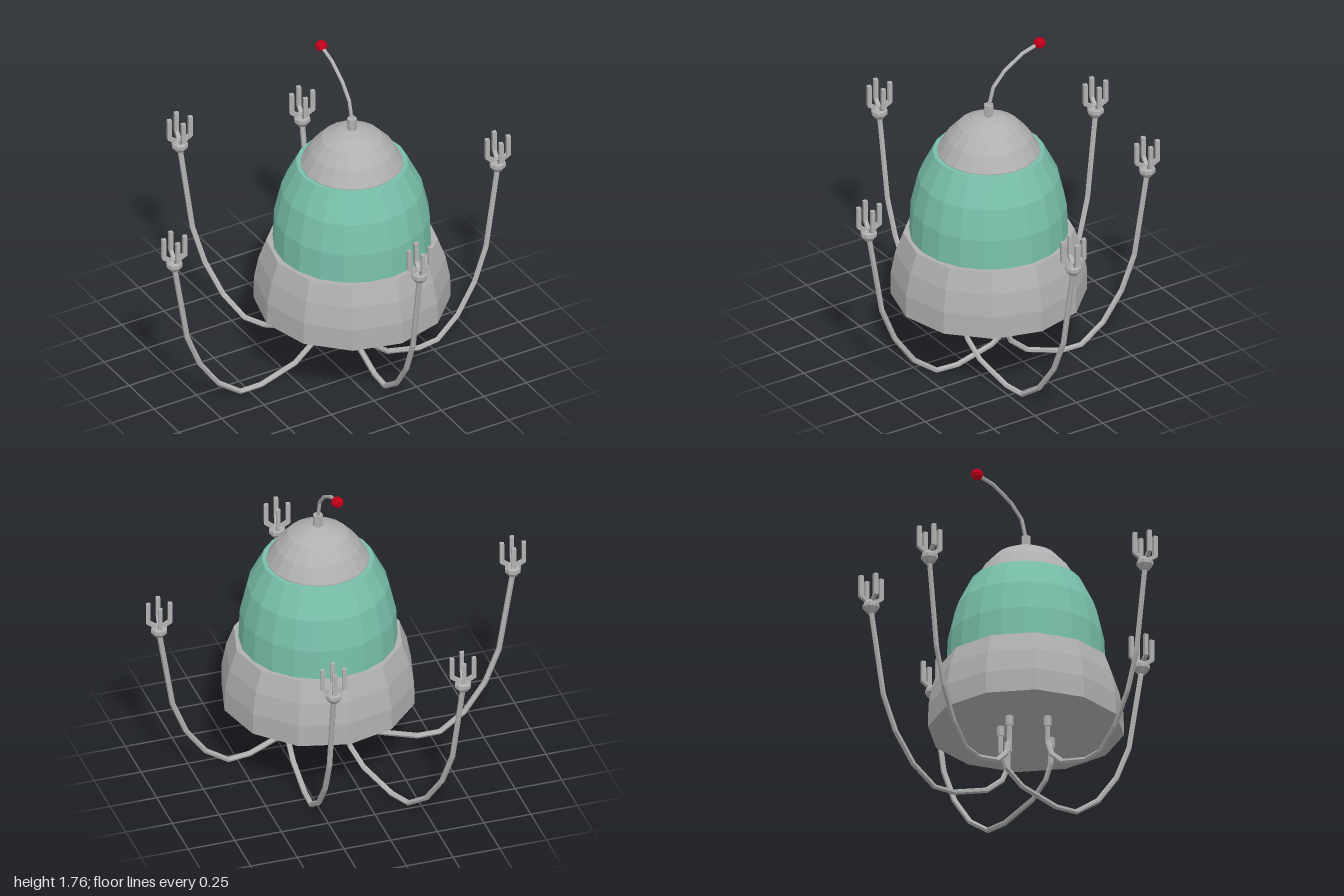
import * as THREE from 'three';

const metal = new THREE.MeshStandardMaterial({ color: 0xb0b0b0, flatShading: true });
metal.name = 'grey metal';
const green = new THREE.MeshStandardMaterial({ color: 0x78bfaa, flatShading: true });
green.name = 'sea green';
const red = new THREE.MeshStandardMaterial({ color: 0xc00018, flatShading: true });
red.name = 'red';

// Straight segments between points, one tube ring per point
class Polyline extends THREE.Curve {
  constructor(points) {
    super();
    this.points = points;
  }
  getPoint(t, target = new THREE.Vector3()) {
    const n = this.points.length - 1;
    const i = Math.min(Math.floor(t * n + 1e-9), n - 1);
    return target.lerpVectors(this.points[i], this.points[i + 1], t * n - i);
  }
  getPointAt(t, target) { return this.getPoint(t, target); }
  getTangentAt(t, target) { return this.getTangent(t, target); }
}

function add(parent, name, geometry, material, x = 0, y = 0, z = 0) {
  const mesh = new THREE.Mesh(geometry, material);
  mesh.name = name;
  mesh.position.set(x, y, z);
  parent.add(mesh);
  return mesh;
}

const lathe = (profile, sides) =>
  new THREE.LatheGeometry(profile.map(([r, y]) => new THREE.Vector2(r, y)), sides);

const tube = (points, radius, sides) =>
  new THREE.TubeGeometry(new Polyline(points), points.length - 1, radius, sides);

// Wrist cup with four bent upright fingers
function createHand() {
  const hand = new THREE.Group();
  hand.name = 'hand';
  add(hand, 'wrist', lathe([[0, 0.88], [0.022, 0.885], [0.043, 0.912], [0.043, 0.932], [0.028, 0.95], [0, 0.955]], 8), metal);
  for (let k = 0; k < 4; k++) {
    const finger = new THREE.Group();
    finger.name = 'finger';
    finger.rotation.y = -0.22 - k * Math.PI / 2;
    add(finger, 'fingerTip', new THREE.BoxGeometry(0.022, 0.115, 0.022), metal, 0.056, 1.025, 0);
    const link = add(finger, 'fingerLink', new THREE.BoxGeometry(0.05, 0.02, 0.02), metal, 0.039, 0.959, 0);
    link.rotation.z = 0.6;
    hand.add(finger);
  }
  return hand;
}

// Hanging arm profile: distance from root, height
const armProfile = [[0, 0.36], [0, 0.24], [0.035, 0.16], [0.13, 0.08], [0.33, 0.016], [0.45, 0.016],
  [0.58, 0.11], [0.69, 0.265], [0.765, 0.45], [0.84, 0.9]];

function createArm([rootX, rootZ, handX, handZ]) {
  const arm = new THREE.Group();
  arm.name = 'arm';
  const points = armProfile.map(([d, y]) => {
    const t = d / 0.84;
    return new THREE.Vector3(rootX + (handX - rootX) * t, y, rootZ + (handZ - rootZ) * t);
  });
  add(arm, 'armCable', tube(points, 0.0145, 6), metal);
  add(arm, 'armSocket', new THREE.CylinderGeometry(0.021, 0.021, 0.07, 8), metal, rootX, 0.36, rootZ);
  const hand = createHand();
  hand.position.set(handX, 0, handZ);
  arm.add(hand);
  return arm;
}

export function createModel() {
  const model = new THREE.Group();
  model.name = 'tentacledPod';

  const body = new THREE.Group();
  body.name = 'body';
  body.position.set(0.1, 0, 0.11);
  model.add(body);

  // Stacked shells
  add(body, 'base', lathe([[0, 0.38], [0.5, 0.38], [0.498, 0.5], [0.475, 0.62], [0.435, 0.73], [0, 0.73]], 12), metal);
  add(body, 'shell', lathe([[0.405, 0.72], [0.397, 0.89], [0.36, 1.05], [0.285, 1.2], [0, 1.2]], 20), green);
  add(body, 'dome', lathe([[0.262, 1.195], [0.262, 1.205], [0.215, 1.285], [0.155, 1.35], [0.085, 1.385], [0, 1.407]], 20), metal);

  // Curved antenna with ball
  add(body, 'antennaSocket', new THREE.CylinderGeometry(0.026, 0.026, 0.08, 6), metal, 0, 1.425, 0);
  const antenna = [[1.44, 0], [1.465, -0.004], [1.555, -0.027], [1.63, -0.094], [1.7, -0.203], [1.73, -0.307]]
    .map(([y, z]) => new THREE.Vector3(0, y, z));
  add(body, 'antenna', tube(antenna, 0.01, 6), metal);
  const ball = add(body, 'antennaBall', new THREE.SphereGeometry(0.033, 8, 6), red, 0, 1.73, -0.307);
  ball.scale.y = 0.88;

  // Arms: root x, z then hand x, z
  const arms = [
    [-0.1, 0.1, -0.94, 0.1],
    [0.1, 0.265, 0.94, 0.14],
    [0.14, -0.02, 0.08, 0.82],
    [0.01, -0.06, -0.36, -0.83],
    [0.27, 0.12, 0.295, -0.72],
  ];
  arms.forEach((a) => model.add(createArm(a)));

  return model;
}
